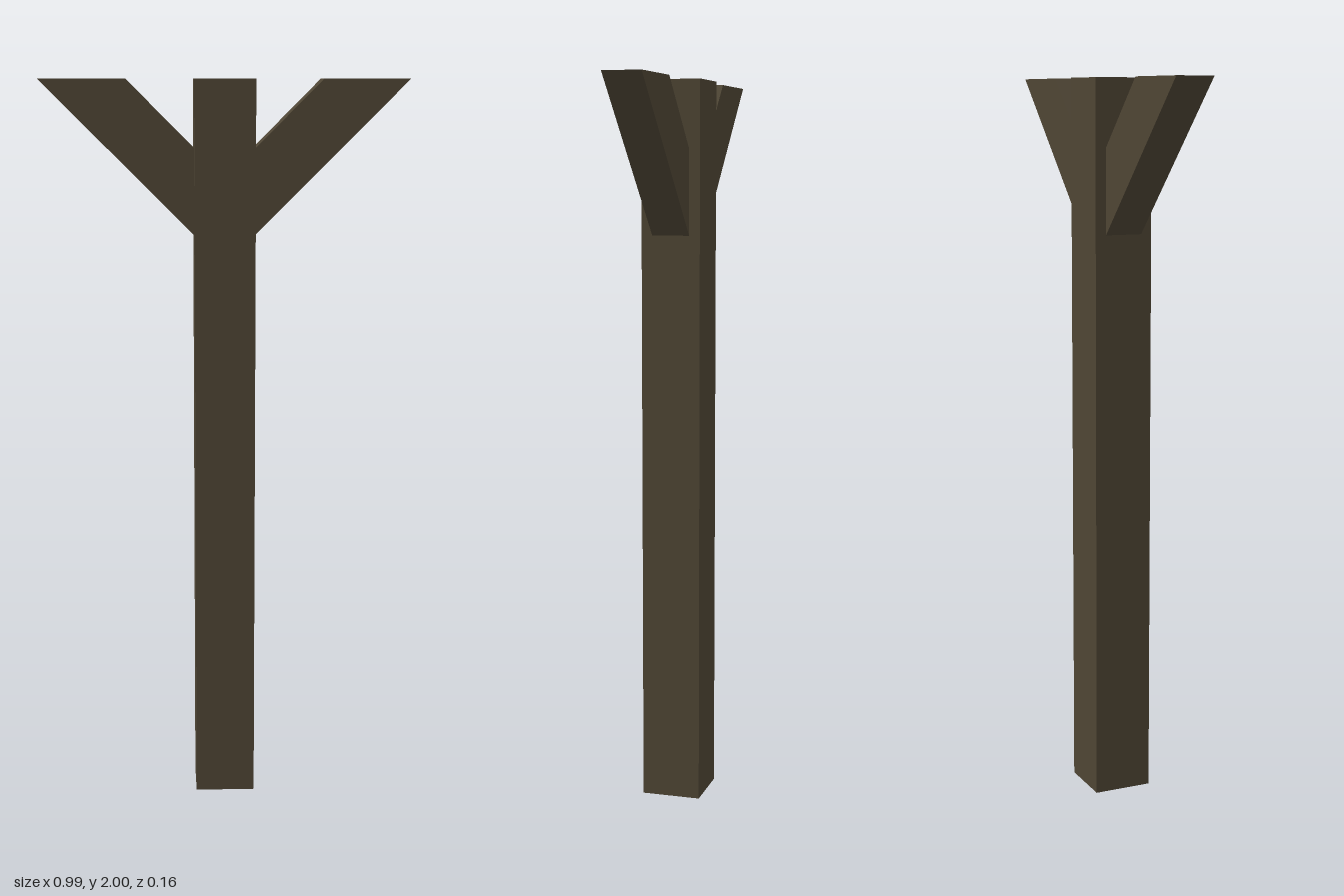
import * as THREE from 'three';

export function createModel() {
  const model = new THREE.Group();
  const wood = new THREE.MeshStandardMaterial({ color: 0x4e4534 });
  wood.name = 'dark wood';

  // Square upright post
  const post = new THREE.Mesh(new THREE.BoxGeometry(0.164, 2, 0.164), wood);
  post.name = 'post';
  post.position.y = 1;
  model.add(post);

  // Diagonal brace on each side, cut flush with the post and level at the top
  const depth = 0.104;
  const profile = [[0.082, 1.586], [0.497, 2], [0.265, 2], [0.082, 1.817]];
  for (const side of [-1, 1]) {
    const shape = new THREE.Shape(profile.map(([x, y]) => new THREE.Vector2(side * x, y)));
    const geometry = new THREE.ExtrudeGeometry(shape, { depth, bevelEnabled: false });
    geometry.translate(0, 0, -depth / 2);
    const brace = new THREE.Mesh(geometry, wood);
    brace.name = side > 0 ? 'leftBrace' : 'rightBrace';
    model.add(brace);
  }

  return model;
}
